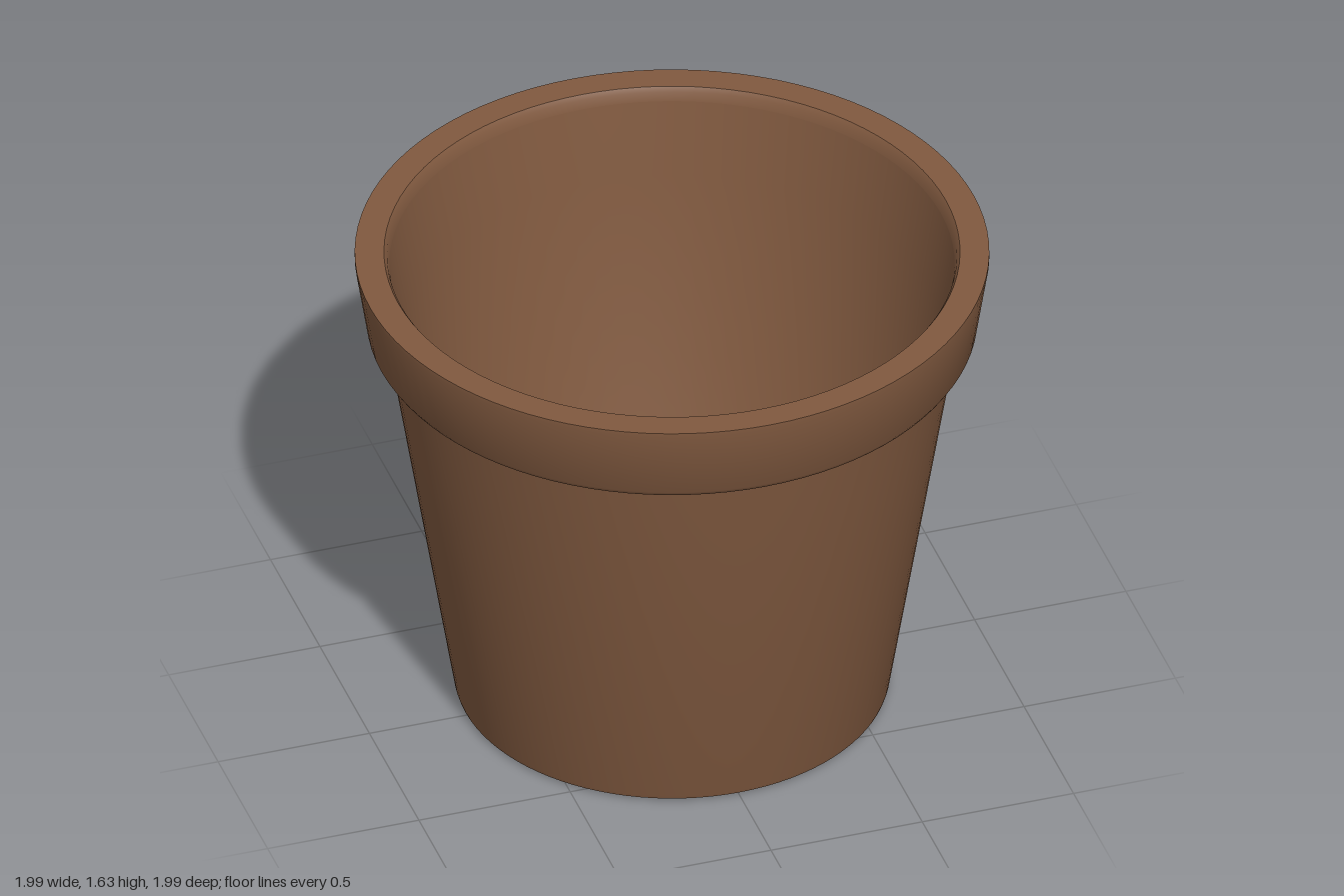
import * as THREE from 'three';
import { toCreasedNormals } from 'three/addons/utils/BufferGeometryUtils.js';

const SEGMENTS = 96;

// Revolves [radius, height] points; edges sharper than the crease angle stay hard
function turned(name, profile, material) {
  const points = profile.map(([r, y]) => new THREE.Vector2(r, y));
  const geometry = toCreasedNormals(new THREE.LatheGeometry(points, SEGMENTS), 0.6);
  const mesh = new THREE.Mesh(geometry, material);
  mesh.name = name;
  return mesh;
}

export function createModel() {
  const brownClay = new THREE.MeshStandardMaterial({ color: 0x80593f });
  brownClay.name = 'brownClay';

  const pot = new THREE.Group();
  pot.name = 'flowerPot';

  // Flat underside
  const underside = new THREE.Mesh(new THREE.CircleGeometry(0.65, SEGMENTS), brownClay);
  underside.name = 'underside';
  underside.rotation.x = Math.PI / 2;

  // Tapered outer wall with a small rounded foot
  const outerWall = turned('outerWall', [
    [0.65, 0], [0.67, 0.003], [0.682, 0.01], [0.686, 0.022], [0.9, 1.35],
  ], brownClay);

  // Thick flared collar, its flat lip and the rounded inner edge
  const collar = turned('collar', [
    [0.9, 1.35], [0.935, 1.355], [0.95, 1.362], [0.96, 1.378],
    [0.997, 1.615], [0.997, 1.63], [0.905, 1.63],
    [0.895, 1.615], [0.888, 1.585],
  ], brownClay);

  // Inner wall down to a rounded corner at the floor
  const innerWall = turned('innerWall', [
    [0.888, 1.585], [0.845, 1.33], [0.65, 0.11],
    [0.642, 0.094], [0.628, 0.084], [0.61, 0.08],
  ], brownClay);

  // Flat floor inside
  const floor = new THREE.Mesh(new THREE.CircleGeometry(0.61, SEGMENTS), brownClay);
  floor.name = 'floor';
  floor.rotation.x = -Math.PI / 2;
  floor.position.y = 0.08;

  pot.add(underside, outerWall, collar, innerWall, floor);
  return pot;
}
